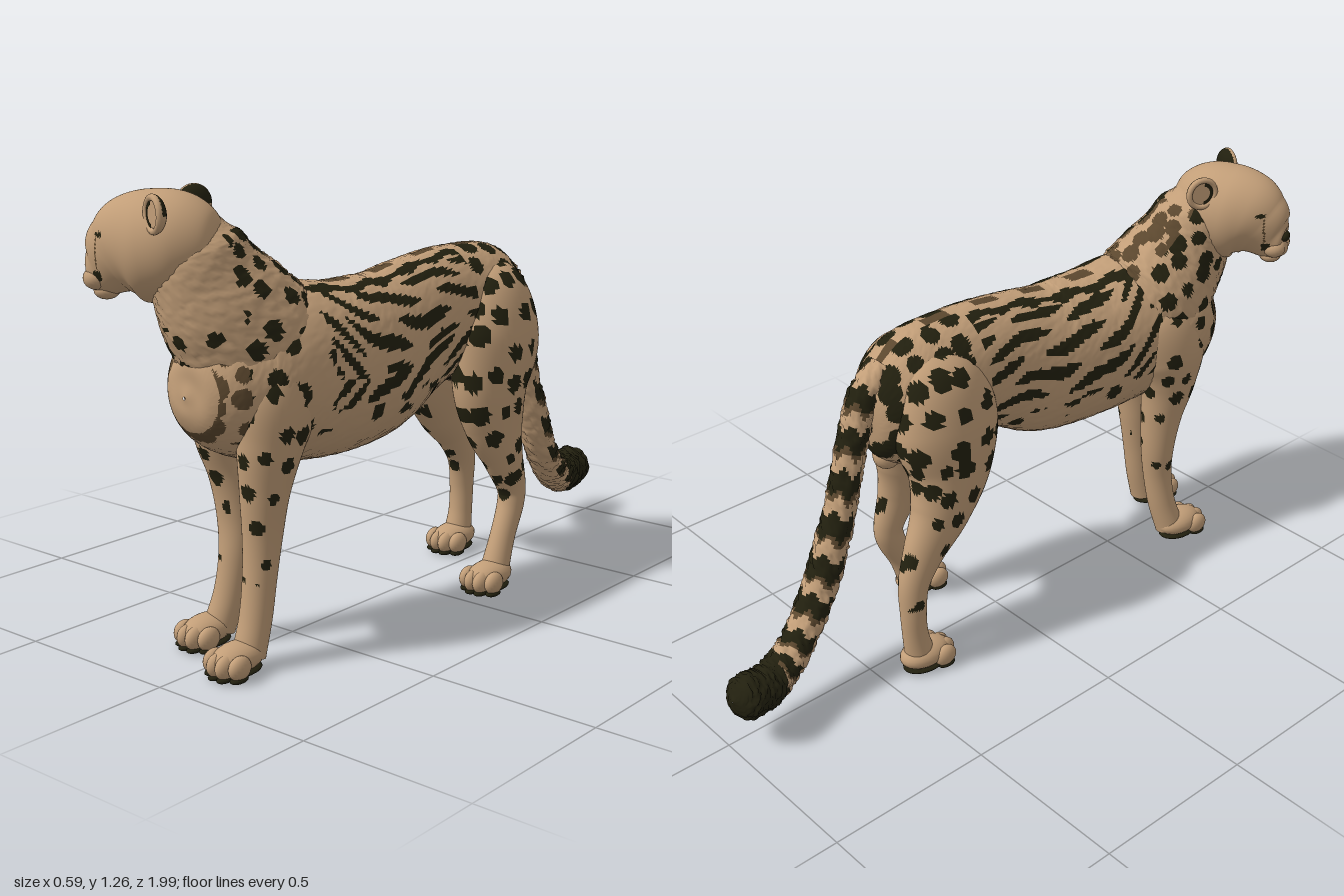
import * as THREE from 'three';

const mat = (name, hex) => {
  const m = new THREE.MeshStandardMaterial({ color: hex });
  m.name = name;
  return m;
};
const fur = mat('tanFur', 0xc29e78);
const dark = mat('darkMarkings', 0x22200f);
const brown = mat('brownMarkings', 0x5b472e);
const palette = [fur, dark, brown];
const TAN = 0, DARK = 1, BROWN = 2;

const hash = (i, j, k = 0) => {
  const s = Math.sin(i * 127.1 + j * 311.7 + k * 74.7) * 43758.5453;
  return s - Math.floor(s);
};

// Smooth tube through rows of [x, y, z, halfWidth, halfDepth], painted face by face.
// spots = [rows, columns, radius] scatters round spots over the surface.
function loft(name, rows, along, around, paint, shag = 0, spots = [0, 0, 0]) {
  const path = new THREE.CatmullRomCurve3(rows.map(r => new THREE.Vector3(r[0], r[1], r[2])), false, 'catmullrom', 0.5);
  const size = new THREE.CatmullRomCurve3(rows.map(r => new THREE.Vector3(r[3], r[4] ?? r[3], 0)), false, 'catmullrom', 0.5);
  const at = (t, q, k = 1) => {
    const c = path.getPoint(t), s = size.getPoint(t), dir = path.getTangent(t);
    const side = new THREE.Vector3(1, 0, 0).addScaledVector(dir, -dir.x).normalize();
    return c.addScaledVector(side, Math.max(s.x, 0.001) * k * Math.cos(q))
      .addScaledVector(dir.cross(side), Math.max(s.y, 0.001) * k * Math.sin(q));
  };
  const pts = [], seeds = [], faces = palette.map(() => []);
  for (let i = 0; i <= along; i++) {
    for (let j = 0; j < around; j++) {
      pts.push(at(i / along, j / around * Math.PI * 2, 1 + shag * (hash(i, j, 3) - 0.5)));
    }
  }
  for (let i = 0; i < spots[0]; i++) {
    for (let j = 0; j < spots[1]; j++) {
      const t = (i + 0.5 + 0.45 * (hash(i, j, 4) - 0.5)) / spots[0];
      const q = (j + (i % 2) / 2 + 0.45 * (hash(i, j, 5) - 0.5)) / spots[1] * Math.PI * 2;
      const w = Math.min(1, size.getPoint(t).x / 0.085);
      if (hash(i, j, 6) < w * w * 1.15) seeds.push([at(t, q), spots[2] * (0.4 + 0.6 * w) * (0.75 + 0.45 * hash(i, j, 7))]);
    }
  }
  const face = (a, b, c, t, q) => {
    const mid = pts[a].clone().add(pts[b]).add(pts[c]).divideScalar(3);
    const spotted = seeds.some(([p, r]) => p.distanceToSquared(mid) < r * r);
    faces[paint(mid, t, q, spotted)].push(a, b, c);
  };
  for (let i = 0; i < along; i++) {
    for (let j = 0; j < around; j++) {
      const a = i * around + j, b = i * around + (j + 1) % around;
      const t = (i + 0.5) / along, q = (j + 0.5) / around * Math.PI * 2;
      face(a, b, a + around, t, q);
      face(b, b + around, a + around, t, q);
    }
  }
  const g = new THREE.BufferGeometry().setFromPoints(pts);
  g.setIndex(faces.flat());
  let start = 0;
  faces.forEach((f, m) => { if (f.length) g.addGroup(start, f.length, m); start += f.length; });
  g.computeVertexNormals();
  const mesh = new THREE.Mesh(g, palette);
  mesh.name = name;
  return mesh;
}

function ball(name, material, x, y, z, sx, sy, sz) {
  const m = new THREE.Mesh(new THREE.SphereGeometry(1, 20, 14), material);
  m.name = name;
  m.position.set(x, y, z);
  m.scale.set(sx, sy, sz);
  return m;
}

// Trunk: broken spine line, long bars along back and flanks, spots at rump and chest
function trunkCoat(p, t, q, spotted) {
  const arc = Math.abs(q - Math.PI / 2) * 0.19, left = q < Math.PI / 2 || q > Math.PI * 1.5;
  if (p.y < 0.62 || p.z > 0.862) return TAN;
  if (arc < 0.026 && p.z < 0.55 && p.y > 0.9) return Math.sin(p.z * 34 + 1) > 0.1 ? BROWN : TAN;
  if (p.z > -0.08 && p.z < 0.56 && p.y > 0.68) {
    if (arc < 0.1) return arc > 0.052 + 0.008 * Math.sin(p.z * 37) && arc < 0.086 + 0.008 * Math.sin(p.z * 53) ? DARK : TAN;
    const b = (arc + 0.22 * p.z + 1.1 * Math.max(0, p.z - 0.28) ** 2 + 0.009 * Math.sin(p.z * 26)) / 0.058;
    const row = Math.floor(b), gap = Math.sin(p.z * 20 + row * 2.3 + (left ? 1.5 : 0));
    return Math.abs(b - row - 0.5) < 0.29 * Math.sqrt(Math.max(0, Math.min(1, gap + 0.75))) ? DARK : TAN;
  }
  return !spotted ? TAN : p.z > 0.8 ? BROWN : DARK;
}

// Neck: clear throat, smudged mane, spotted sides
function neckCoat(p, t, q, spotted) {
  if (!spotted || (p.z > 0.8 && p.y > 0.92) || p.y > 1.16) return TAN;
  return Math.abs(q - Math.PI / 2) < 0.6 ? BROWN : DARK;
}

// Face: eyes, tear lines and mouth corners
function faceCoat(p) {
  if (Math.hypot((p.y - 0.03) / 0.007, (p.z - 0.15) / 0.014) < 1) return DARK;
  const tear = 0.162 - p.y * 0.06;
  if (p.y < 0.022 && p.y > -0.06 && Math.abs(p.z - tear) < 0.0022) return BROWN;
  return p.z > 0.155 && p.z < 0.18 && Math.abs(p.y + 0.078) < 0.014 ? DARK : TAN;
}

// Leg with spots fading out toward the paw and on its inner face
function leg(name, side, spots, rows) {
  return loft(name, rows, 92, 48, (p, t, q, spotted) =>
    spotted && p.y > 0.24 && (p.y > 0.66 || Math.cos(q) * side > -0.55) ? DARK : TAN, 0, spots);
}

function paw(name, x, z) {
  const g = new THREE.Group();
  g.name = name;
  g.add(ball('pawBody', fur, x, 0.049, z, 0.055, 0.041, 0.084));
  g.add(ball('sole', dark, x, 0.012, z, 0.05, 0.012, 0.074));
  for (let i = 0; i < 4; i++) {
    const o = i - 1.5, tz = z + 0.062 - 0.009 * o * o;
    g.add(ball('toe', fur, x + o * 0.031, 0.04, tz, 0.022, 0.033, 0.037));
    g.add(ball('toePad', dark, x + o * 0.031, 0.01, tz + 0.003, 0.018, 0.01, 0.03));
  }
  return g;
}

function ear(side) {
  const g = new THREE.Group();
  g.name = side > 0 ? 'leftEar' : 'rightEar';
  const add = (name, geo, m, z, sz) => {
    const e = new THREE.Mesh(geo, m);
    e.name = name;
    e.position.z = z;
    e.scale.z = sz;
    g.add(e);
  };
  add('earBackTip', new THREE.SphereGeometry(0.05, 20, 10, Math.PI, Math.PI, 0, 1.6), dark, 0, 0.6);
  add('earBackBase', new THREE.SphereGeometry(0.05, 20, 10, Math.PI, Math.PI, 1.6, Math.PI - 1.6), fur, 0, 0.6);
  add('earRim', new THREE.TorusGeometry(0.042, 0.009, 10, 28), fur, 0, 1);
  add('earInner', new THREE.CircleGeometry(0.044, 28), fur, 0.001, 1);
  add('earHollow', new THREE.RingGeometry(0.024, 0.034, 24, 1, side > 0 ? 1.8 : -1.4, 2.8), dark, 0.004, 1);
  g.position.set(side * 0.131, 0.092, -0.02);
  g.rotation.y = side * 0.8;
  return g;
}

export function createModel() {
  const model = new THREE.Group();
  model.name = 'spottedBigCat';

  // Trunk from rump to chest
  model.add(loft('torso', [
    [0.07, 0.82, -0.435, 0.005, 0.005], [0.07, 0.82, -0.405, 0.085, 0.115],
    [0.07, 0.815, -0.32, 0.135, 0.19], [0.07, 0.82, -0.2, 0.15, 0.21],
    [0.07, 0.835, -0.05, 0.143, 0.195], [0.07, 0.805, 0.1, 0.15, 0.21],
    [0.067, 0.76, 0.25, 0.17, 0.235], [0.06, 0.75, 0.42, 0.185, 0.24],
    [0.04, 0.765, 0.58, 0.188, 0.24], [0.012, 0.755, 0.7, 0.183, 0.215],
    [0.005, 0.745, 0.8, 0.148, 0.165], [0, 0.74, 0.866, 0.085, 0.095], [0, 0.74, 0.884, 0.004, 0.004],
  ], 160, 130, trunkCoat, 0.012, [15, 14, 0.029]));

  model.add(loft('neck', [
    [0.035, 0.77, 0.5, 0.12, 0.15], [0.018, 0.85, 0.645, 0.172, 0.2],
    [0.0, 0.95, 0.73, 0.155, 0.188], [-0.02, 1.04, 0.78, 0.13, 0.158],
    [-0.035, 1.12, 0.805, 0.118, 0.13], [-0.04, 1.18, 0.815, 0.07, 0.08],
  ], 62, 88, neckCoat, 0.03, [8, 11, 0.026]));

  // Head, turned toward the right shoulder
  const head = new THREE.Group();
  head.name = 'head';
  head.add(loft('skull', [
    [0, 0, -0.15, 0.004, 0.004], [0, 0, -0.125, 0.075, 0.08], [0, 0.003, -0.05, 0.125, 0.132],
    [0, -0.003, 0.03, 0.133, 0.144], [0, -0.012, 0.09, 0.115, 0.137], [0, -0.034, 0.135, 0.087, 0.11],
    [0, -0.064, 0.175, 0.06, 0.076], [0, -0.076, 0.205, 0.043, 0.052], [0, -0.074, 0.219, 0.004, 0.004],
  ], 90, 90, faceCoat));
  for (const s of [1, -1]) {
    head.add(ear(s));
    head.add(ball('muzzlePad', fur, s * 0.026, -0.088, 0.186, 0.034, 0.03, 0.035));
    head.add(ball('brow', fur, s * 0.052, 0.046, 0.124, 0.03, 0.014, 0.027));
  }
  head.add(ball('chin', fur, 0, -0.122, 0.17, 0.037, 0.024, 0.034));
  head.add(ball('noseBridge', fur, 0, -0.035, 0.175, 0.03, 0.03, 0.04));
  head.add(ball('nose', dark, 0, -0.056, 0.211, 0.023, 0.016, 0.015));
  head.position.set(-0.08, 1.12, 0.85);
  head.rotation.y = -1.147;
  model.add(head);

  // Legs: each stands in its own step of the stride
  const frontSpots = [11, 7, 0.023], hindSpots = [14, 10, 0.028];
  model.add(leg('leftFrontLeg', 1, frontSpots, [
    [0.09, 0.9, 0.6, 0.03, 0.04], [0.115, 0.82, 0.62, 0.085, 0.11], [0.122, 0.71, 0.67, 0.09, 0.13],
    [0.12, 0.6, 0.7, 0.078, 0.1], [0.112, 0.48, 0.715, 0.063, 0.072], [0.105, 0.36, 0.72, 0.052, 0.056],
    [0.102, 0.25, 0.73, 0.046, 0.047], [0.099, 0.14, 0.745, 0.044, 0.045], [0.095, 0.04, 0.77, 0.045, 0.047],
  ]));
  model.add(leg('rightFrontLeg', -1, frontSpots, [
    [-0.04, 0.9, 0.58, 0.03, 0.04], [-0.07, 0.82, 0.6, 0.085, 0.11], [-0.085, 0.71, 0.645, 0.098, 0.13],
    [-0.09, 0.6, 0.65, 0.08, 0.1], [-0.085, 0.48, 0.635, 0.064, 0.07], [-0.08, 0.36, 0.63, 0.054, 0.054],
    [-0.077, 0.25, 0.64, 0.046, 0.047], [-0.088, 0.14, 0.655, 0.044, 0.045], [-0.107, 0.04, 0.68, 0.045, 0.047],
  ]));
  model.add(leg('leftHindLeg', 1, hindSpots, [
    [0.11, 0.98, -0.22, 0.02, 0.04], [0.145, 0.9, -0.22, 0.09, 0.13], [0.18, 0.76, -0.2, 0.103, 0.175],
    [0.19, 0.62, -0.165, 0.09, 0.145], [0.2, 0.5, -0.175, 0.07, 0.112], [0.21, 0.4, -0.205, 0.052, 0.075],
    [0.215, 0.3, -0.243, 0.04, 0.052], [0.217, 0.24, -0.238, 0.038, 0.046], [0.22, 0.15, -0.195, 0.036, 0.042],
    [0.22, 0.05, -0.155, 0.042, 0.047],
  ]));
  model.add(leg('rightHindLeg', -1, hindSpots, [
    [0.03, 0.98, -0.23, 0.02, 0.04], [-0.005, 0.9, -0.23, 0.09, 0.13], [-0.038, 0.76, -0.22, 0.1, 0.172],
    [-0.055, 0.62, -0.225, 0.087, 0.145], [-0.07, 0.5, -0.275, 0.07, 0.105], [-0.08, 0.4, -0.345, 0.052, 0.07],
    [-0.085, 0.31, -0.39, 0.042, 0.05], [-0.09, 0.22, -0.4, 0.037, 0.041], [-0.09, 0.13, -0.395, 0.036, 0.04],
    [-0.09, 0.05, -0.38, 0.042, 0.047],
  ]));
  model.add(paw('leftFrontPaw', 0.094, 0.808), paw('rightFrontPaw', -0.115, 0.715));
  model.add(paw('leftHindPaw', 0.222, -0.128), paw('rightHindPaw', -0.09, -0.362));
  model.add(ball('groin', fur, 0.07, 0.66, -0.35, 0.04, 0.045, 0.045));

  // Shaggy tail, barred on its outer side, with a dark tuft
  const tailCoat = (p, t, q) => {
    if (p.z < -0.83) return DARK;
    if (Math.sin(q) > 0.35 || t < 0.06) return TAN;
    const ring = (t * 12 + 0.1 * Math.sin(q * 5)) % 1;
    return ring < 0.5 ? DARK : ring < 0.64 ? BROWN : TAN;
  };
  model.add(loft('tail', [
    [0.07, 0.94, -0.35, 0.04], [0.068, 0.88, -0.425, 0.045], [0.065, 0.75, -0.475, 0.045],
    [0.06, 0.6, -0.52, 0.046], [0.055, 0.45, -0.575, 0.05], [0.045, 0.32, -0.64, 0.051],
    [0.02, 0.22, -0.73, 0.051], [0, 0.17, -0.81, 0.055], [-0.022, 0.155, -0.89, 0.062],
    [-0.035, 0.172, -0.965, 0.058], [-0.04, 0.18, -0.998, 0.001],
  ], 130, 32, tailCoat, 0.2));
  return model;
}
